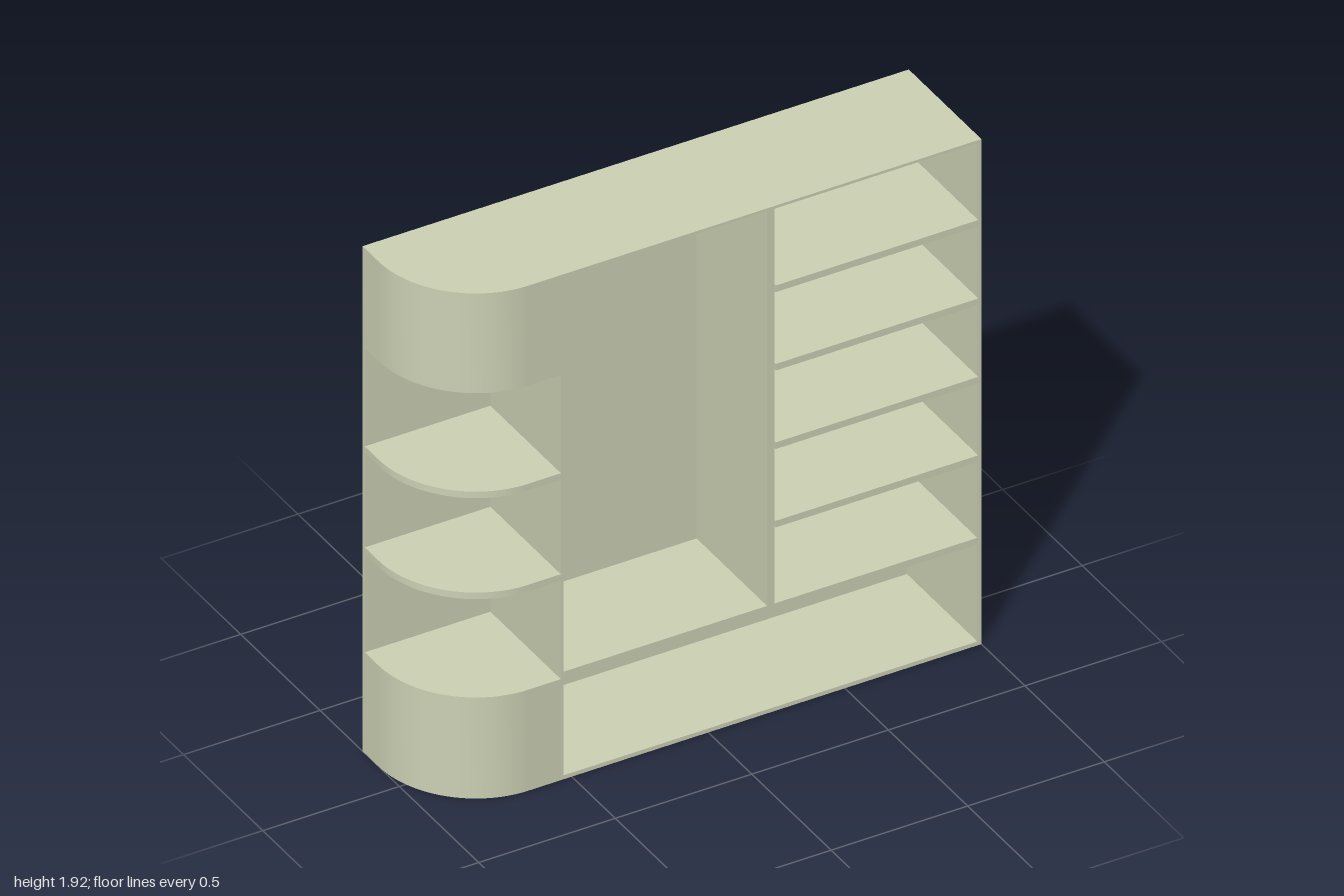
import * as THREE from 'three';
import { toCreasedNormals } from 'three/addons/utils/BufferGeometryUtils.js';

const HEIGHT = 1.925, BACK = -0.232, INNER = -0.218, FRONT = 0.226;

export function createModel() {
  const group = new THREE.Group();
  const material = new THREE.MeshStandardMaterial({ color: 0xced2b5 });

  const add = (name, geometry) => {
    const mesh = new THREE.Mesh(geometry, material);
    mesh.name = name;
    group.add(mesh);
  };

  // Box given by its minimum and maximum on each axis
  const box = (name, x0, x1, y0, y1, z0, z1) => add(name,
    new THREE.BoxGeometry(x1 - x0, y1 - y0, z1 - z0)
      .translate((x0 + x1) / 2, (y0 + y1) / 2, (z0 + z1) / 2));

  const rect = (path, x0, x1, y0, y1) => path
    .moveTo(x0, y0).lineTo(x1, y0).lineTo(x1, y1).lineTo(x0, y1).closePath();

  // Cabinet frame: wardrobe bay, shelf column and long bottom bay
  const face = rect(new THREE.Shape(), -0.54, 1, 0, HEIGHT);
  const bays = [
    [-0.53, 0.215, 0.41, 1.915],
    [0.243, 0.985, 0.41, 1.915],
    [-0.53, 0.985, 0.015, 0.385],
  ];
  for (const bay of bays) face.holes.push(rect(new THREE.Path(), ...bay));
  add('cabinetFrame', new THREE.ExtrudeGeometry(face, { depth: FRONT - INNER, bevelEnabled: false })
    .translate(0, 0, INNER));

  // Thin back panel over the full width
  box('backPanel', -1, 1, 0, HEIGHT, BACK, INNER);

  // Shelves of the column, standing slightly proud of the frame
  for (let i = 0; i < 4; i++) {
    const y = 0.703 + i * 0.299;
    box('columnShelf', 0.243, 0.985, y, y + 0.025, INNER, 0.232);
  }

  // Rounded end pieces: plan outline drawn with y = -z
  const plan = new THREE.Shape();
  plan.moveTo(-0.54, -INNER).lineTo(-1, -INNER).lineTo(-1, 0.13);
  plan.absellipse(-0.66, 0.13, 0.34, FRONT + 0.13, Math.PI, Math.PI * 1.5, false);
  plan.lineTo(-0.54, -FRONT).closePath();
  const roundedPiece = (name, y0, y1) => add(name, toCreasedNormals(
    new THREE.ExtrudeGeometry(plan, { depth: y1 - y0, bevelEnabled: false, curveSegments: 32 })
      .rotateX(-Math.PI / 2).translate(0, y0, 0), 0.5));

  roundedPiece('roundedBase', 0, 0.385);
  roundedPiece('roundedShelf', 0.76, 0.785);
  roundedPiece('roundedShelf', 1.145, 1.17);
  roundedPiece('roundedTop', 1.545, HEIGHT);

  return group;
}
